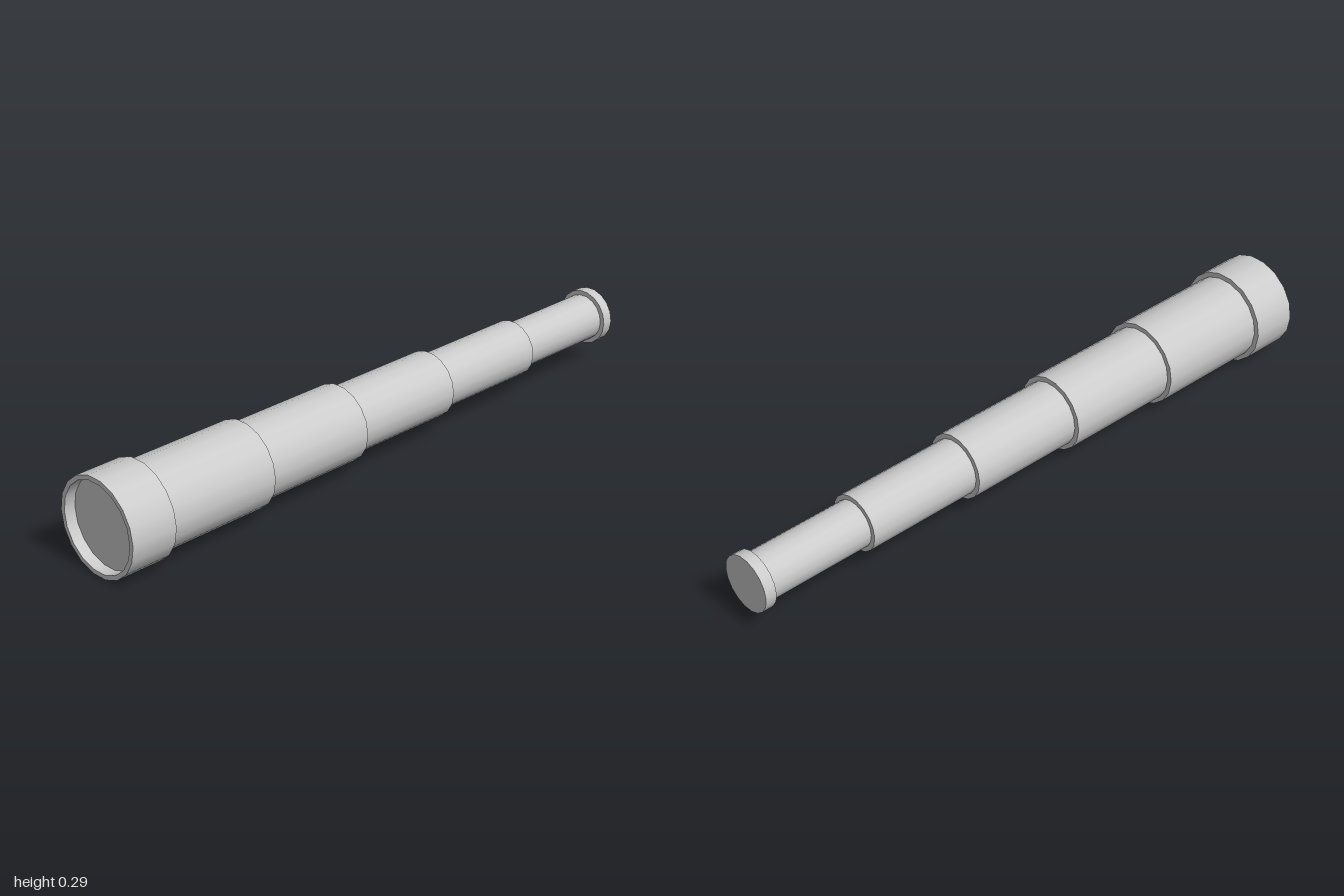
import * as THREE from 'three';

const SIDES = 18;
const AXIS_Y = 0.146;

export function createModel() {
  const model = new THREE.Group();
  const material = new THREE.MeshStandardMaterial({ color: 0xcccccc });
  const inside = new THREE.MeshStandardMaterial({ color: 0xcccccc, side: THREE.BackSide });

  function add(parent, name, geometry, mat = material) {
    const mesh = new THREE.Mesh(geometry, mat);
    mesh.name = name;
    parent.add(mesh);
  }

  // Cylinder along z, with a corner pointing to each side
  function tube(radius, front, back, open = false) {
    return new THREE.CylinderGeometry(radius, radius, front - back, SIDES, 1, open, Math.PI / 2)
      .rotateX(Math.PI / 2)
      .translate(0, AXIS_Y, (front + back) / 2);
  }

  // Flat annulus facing +z or -z
  function ring(inner, outer, z, facingBack = false) {
    return new THREE.RingGeometry(inner, outer, SIDES)
      .rotateY(facingBack ? Math.PI : 0)
      .translate(0, AXIS_Y, z);
  }

  // Wide front collar with a recessed lens
  const collar = new THREE.Group();
  collar.name = 'frontCollar';
  model.add(collar);
  const outer = 0.148, bore = 0.134, front = 1, back = 0.853, lensZ = 0.965;
  add(collar, 'collarWall', tube(outer, front, back, true));
  add(collar, 'collarRim', ring(bore, outer, front));
  add(collar, 'collarBack', ring(0.12, outer, back, true));
  add(collar, 'collarBore', tube(bore, front, lensZ, true), inside);
  add(collar, 'frontLens',
    new THREE.CircleGeometry(bore, SIDES).translate(0, AXIS_Y, lensZ));

  // Telescoping sections, each narrower than the one before
  const sections = [
    [0.132, 0.853, 0.485],
    [0.1175, 0.485, 0.115],
    [0.102, 0.115, -0.257],
    [0.087, -0.257, -0.628],
    [0.0725, -0.628, -0.965],
  ];
  sections.forEach(([radius, z0, z1], i) =>
    add(model, `drawTube${i + 1}`, tube(radius, z0, z1)));

  // Eyepiece cap
  add(model, 'eyepiece', tube(0.087, -0.965, -1));

  return model;
}
